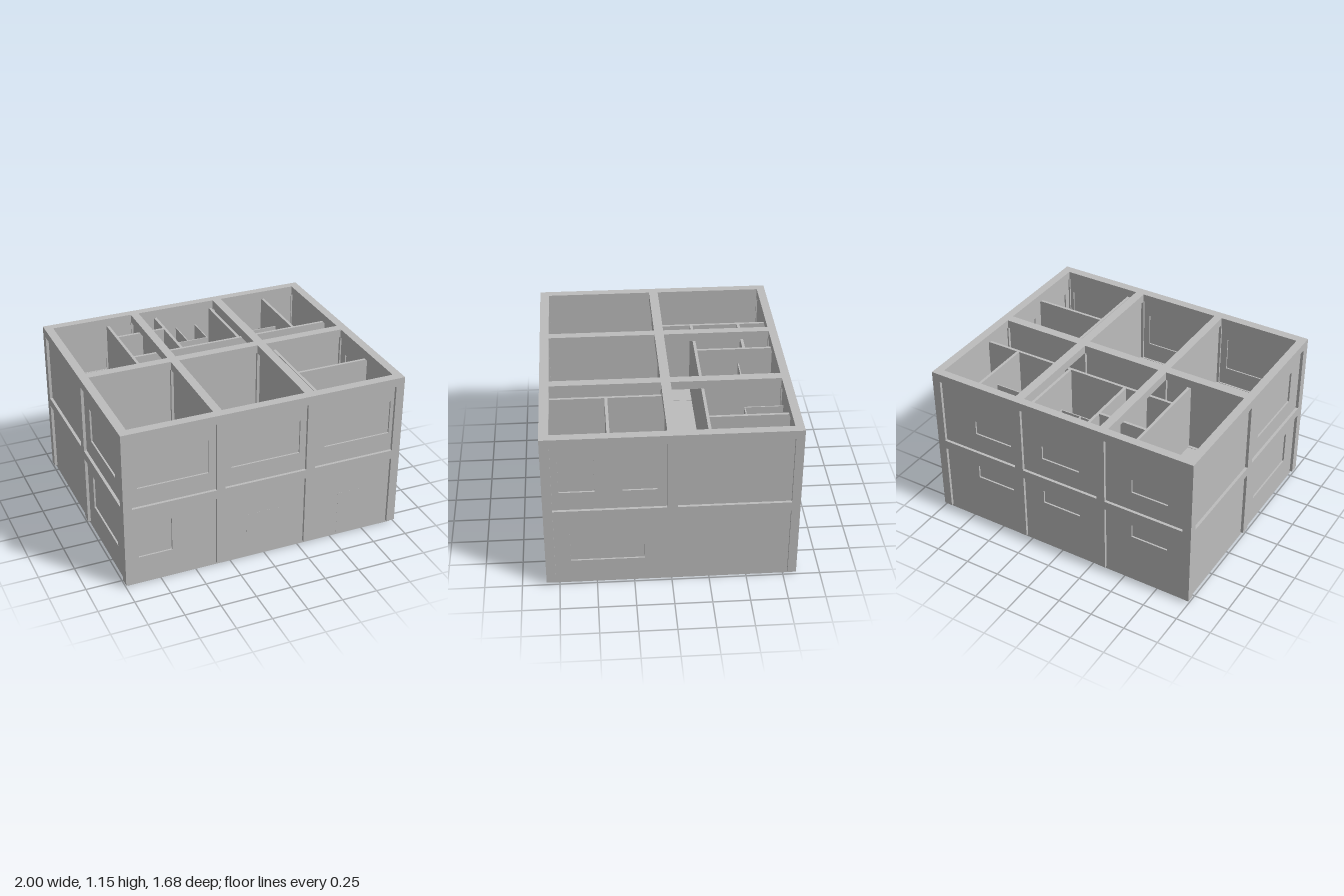
import * as THREE from 'three';

export function createModel() {
  const model = new THREE.Group();
  model.name = 'openTopBuilding';
  const concrete = new THREE.MeshStandardMaterial({ color: 0xbcbcbc });
  concrete.name = 'plain grey';

  // Box given by its min and max corners
  const block = (name, x0, x1, y0, y1, z0, z1, parent = model) => {
    const mesh = new THREE.Mesh(new THREE.BoxGeometry(x1 - x0, y1 - y0, z1 - z0), concrete);
    mesh.position.set((x0 + x1) / 2, (y0 + y1) / 2, (z0 + z1) / 2);
    mesh.name = name;
    parent.add(mesh);
    return mesh;
  };

  const H = 1.155, CEIL = 1.095, FLOOR = 0.6, BASE = 0.02;
  const colX = [[-1, -0.94], [-0.355, -0.295], [0.29, 0.355], [0.94, 1]];
  const colZ = [[-0.838, -0.78], [-0.035, 0.03], [0.775, 0.838]];

  // Ground slab
  block('groundSlab', -0.98, 0.98, 0, BASE, -0.818, 0.818);

  // Columns, then beams at both levels
  for (const [x0, x1] of colX)
    for (const [z0, z1] of colZ) block('column', x0, x1, BASE, H, z0, z1);
  for (const [y0, y1] of [[0.535, FLOOR], [CEIL, H]]) {
    for (const [z0, z1] of colZ)
      for (let i = 0; i < 3; i++) block('crossBeam', colX[i][1], colX[i + 1][0], y0, y1, z0, z1);
    for (const [x0, x1] of colX)
      for (let i = 0; i < 2; i++) block('longBeam', x0, x1, y0, y1, colZ[i][1], colZ[i + 1][0]);
  }

  // Upper floor, leaving the stairwell open
  block('upperFloor', -0.54, 0.96, 0.57, 0.598, -0.8, 0.8);
  block('upperFloor', -0.96, -0.54, 0.57, 0.598, -0.262, 0.8);

  // Outer walls: local x runs along the wall, local +z points outward
  const rect = (C, x0, x1, y0, y1) => {
    const p = new C();
    p.moveTo(x0, y0);
    p.lineTo(x1, y0);
    p.lineTo(x1, y1);
    p.lineTo(x0, y1);
    p.closePath();
    return p;
  };
  const outerWall = (name, half, face, turn, windows) => {
    const group = new THREE.Group();
    group.name = name;
    const shape = rect(THREE.Shape, -half, half, BASE, CEIL + 0.02);
    for (const w of windows) {
      shape.holes.push(rect(THREE.Path, ...w));
      block('windowPane', ...w, face - 0.02, face - 0.012, group);
    }
    const wall = new THREE.Mesh(
      new THREE.ExtrudeGeometry(shape, { depth: 0.03, bevelEnabled: false }), concrete);
    wall.position.z = face - 0.03;
    wall.name = name + 'Panel';
    group.add(wall);
    group.rotation.y = turn;
    model.add(group);
    return group;
  };

  const front = outerWall('frontWall', 0.97, 0.818, 0, [
    [-0.895, -0.405, 0.735, 0.98], [-0.245, 0.245, 0.735, 0.98], [0.43, 0.915, 0.735, 0.98],
    [-0.9, -0.665, 0.205, 0.45]]);
  block('frontDoor', -0.13, 0.11, BASE, 0.34, 0.814, 0.8185, front);
  block('frontDoor', 0.55, 0.72, BASE, 0.34, 0.814, 0.8185, front);

  const backWindows = [];
  for (const [x0, x1] of [[-0.68, -0.39], [-0.14, 0.15], [0.55, 0.82]])
    for (const [y0, y1] of [[0.745, 0.85], [0.37, 0.47]]) backWindows.push([x0, x1, y0, y1]);
  outerWall('backWall', 0.97, 0.818, Math.PI, backWindows);

  outerWall('rightWall', 0.81, 0.98, Math.PI / 2, [
    [-0.73, -0.5, 0.735, 0.98], [-0.32, -0.095, 0.735, 0.98], [-0.67, -0.18, 0.18, 0.425]]);
  outerWall('leftWall', 0.81, 0.98, -Math.PI / 2, [
    [0.14, 0.64, 0.735, 0.98], [0.14, 0.64, 0.205, 0.45]]);

  // Walls under the inner beams, on both storeys
  for (const [y0, y1] of [[BASE, 0.535], [0.598, CEIL]]) {
    block('spineWall', -0.54, 0.95, y0, y1, -0.014, 0.01);
    block('spineWall', -0.95, -0.54, y0, y1, -0.014, 0.01);
    for (const x of [-0.325, 0.322]) {
      block('bayWall', x - 0.012, x + 0.012, y0, y1, 0.01, 0.79);
      block('bayWall', x - 0.012, x + 0.012, y0, y1, -0.79, -0.26);
    }
  }

  // Upper room partitions: x0, x1, z0, z1
  const partitions = [
    [-0.54, -0.52, -0.79, -0.02], [-0.52, -0.325, -0.6, -0.58], [-0.52, 0.95, -0.26, -0.24],
    [-0.315, -0.175, -0.6, -0.58], [-0.175, -0.155, -0.79, -0.26], [0.26, 0.28, -0.79, -0.26],
    [0.69, 0.71, -0.79, -0.26], [0.41, 0.43, 0.01, 0.79], [0.43, 0.95, 0.39, 0.41]];
  for (const [x0, x1, z0, z1] of partitions)
    block('partition', x0, x1, 0.598, CEIL, z0, z1);

  // Washroom stalls
  const stalls = [
    [-0.004, 0.004, -0.79, -0.55], [0.146, 0.154, -0.79, -0.55], [-0.155, 0.15, -0.557, -0.549],
    [0.421, 0.429, -0.79, -0.53], [0.425, 0.69, -0.532, -0.524]];
  for (const [x0, x1, z0, z1] of stalls)
    block('stallPanel', x0, x1, 0.598, 0.98, z0, z1);
  for (const [x, z] of [[-0.05, -0.553], [0.1, -0.553], [0.54, -0.528]])
    block('stallHandle', x - 0.02, x + 0.02, 0.775, 0.785, z - 0.009, z + 0.009);

  // Stairs: the left flight climbs to the landing, the right flight on to the upper floor
  const steps = 7, depth = 0.345 / steps, mid = 0.31, rise = (mid - BASE) / (steps + 1);
  block('stairLanding', -0.95, -0.54, mid - 0.03, mid, -0.79, -0.607);
  for (let i = 0; i < steps; i++) {
    const z = -0.607 + i * depth;
    const low = mid - (i + 1) * rise, high = mid + (i + 1) * rise;
    block('lowerStep', -0.95, -0.765, Math.max(BASE, low - 0.07), low, z, z + depth);
    block('upperStep', -0.735, -0.54, high - 0.07, high, z, z + depth);
  }
  block('stairDivider', -0.765, -0.742, BASE, 0.72, -0.607, -0.215);

  return model;
}
